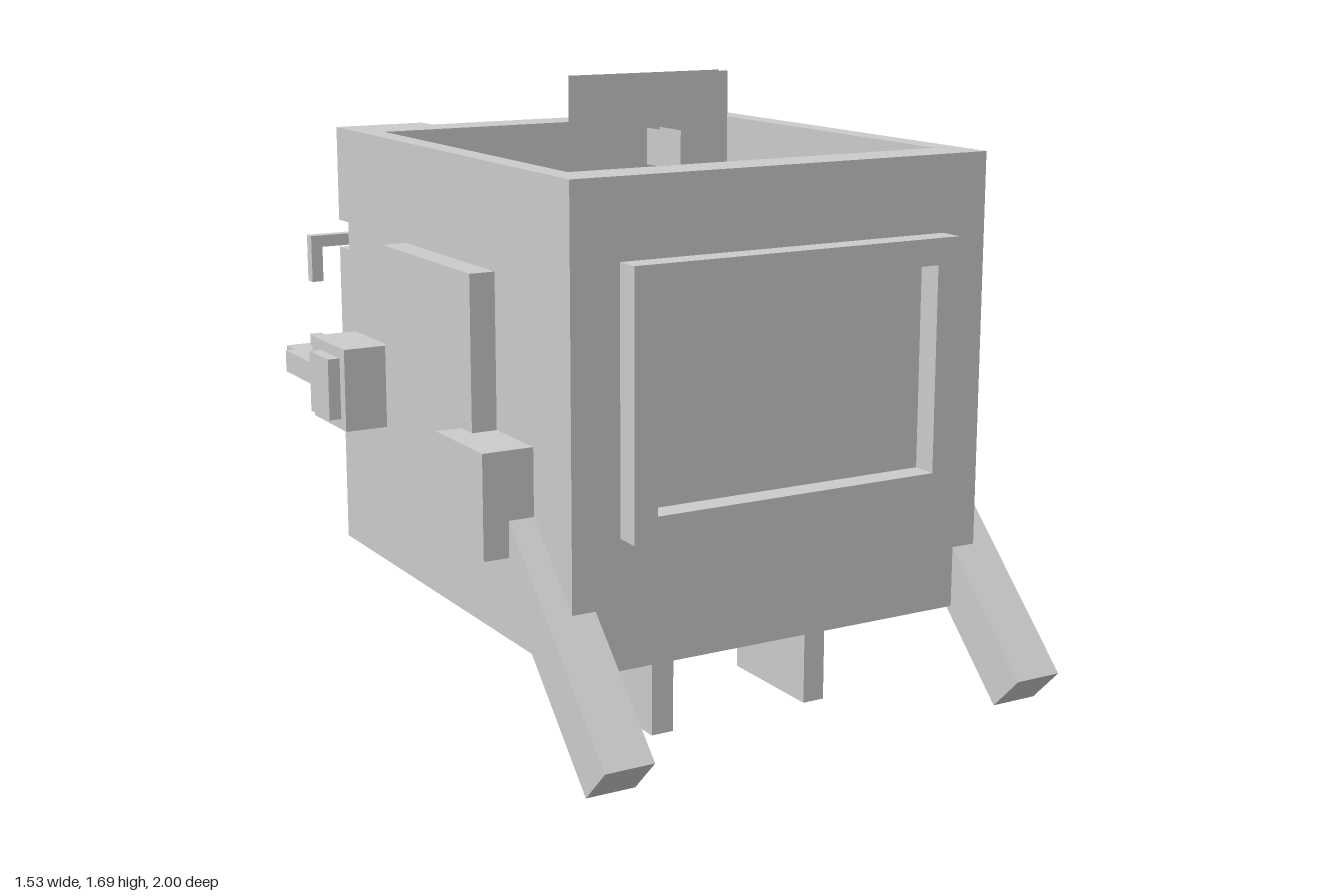
import * as THREE from 'three';

export function createModel() {
  const model = new THREE.Group();
  const grey = new THREE.MeshStandardMaterial({ color: 0xcccccc, flatShading: true });
  const thin = new THREE.MeshStandardMaterial({ color: 0xcccccc, side: THREE.DoubleSide });

  const add = (name, geometry, material = grey) => {
    const mesh = new THREE.Mesh(geometry, material);
    mesh.name = name;
    model.add(mesh);
    return mesh;
  };
  // Box given by its limits on each axis
  const box = (name, x0, x1, y0, y1, z0, z1) => {
    const mesh = add(name, new THREE.BoxGeometry(x1 - x0, y1 - y0, z1 - z0));
    mesh.position.set((x0 + x1) / 2, (y0 + y1) / 2, (z0 + z1) / 2);
    return mesh;
  };
  // Rectangular ring extruded from z0 to z1
  const ring = (name, [x0, x1, y0, y1], [a0, a1, b0, b1], z0, z1) => {
    const rect = (C, l, r, b, t) => new C([[l, b], [r, b], [r, t], [l, t]].map(p => new THREE.Vector2(...p)));
    const shape = rect(THREE.Shape, x0, x1, y0, y1);
    shape.holes.push(rect(THREE.Path, a0, a1, b0, b1));
    const mesh = add(name, new THREE.ExtrudeGeometry(shape, { depth: z1 - z0, bevelEnabled: false }));
    mesh.position.z = z0;
    return mesh;
  };

  // Hollow body, open at the top
  box('floor', -0.6, 0.63, 0.28, 0.35, -0.66, 0.71);
  box('frontWall', -0.6, 0.63, 0.35, 1.51, 0.58, 0.71);
  box('backWall', -0.6, 0.63, 0.35, 1.51, -0.66, -0.53);
  box('rightWall', -0.6, -0.535, 0.35, 1.51, -0.53, 0.58);
  box('leftWall', 0.56, 0.63, 0.35, 1.51, -0.53, 0.58);

  // Raised blocks on the back, with a groove and two recesses between them
  box('backBlock', -0.6, 0.63, 0.68, 1.16, -0.73, -0.66);
  for (const [x0, x1] of [[-0.6, -0.33], [0.355, 0.63]]) {
    box('upperBackPost', x0, x1, 1.24, 1.51, -0.73, -0.66);
    box('lowerBackPost', x0, x1, 0.28, 0.68, -0.73, -0.66);
  }

  // Front window frame
  ring('windowFrame', [-0.465, 0.495, 0.62, 1.305], [-0.4, 0.43, 0.685, 1.235], 0.71, 0.78);

  // Side panels
  box('leftPanel', 0.63, 0.695, 0.69, 1.235, -0.245, 0.305);
  box('leftPanelBand', 0.63, 0.695, 0.825, 1.1, -0.72, -0.245);
  box('rightPanel', -0.67, -0.6, 0.69, 1.235, -0.245, 0.305);

  // Slanted front legs with hip blocks
  const legLength = 0.817;
  for (const [x0, x1, b0, b1] of [[0.56, 0.695, 0.63, 0.765], [-0.67, -0.535, -0.74, -0.6]]) {
    box('hipBlock', b0, b1, 0.55, 0.825, 0.24, 0.51);
    const leg = add('frontLeg', new THREE.BoxGeometry(x1 - x0, 0.135, legLength));
    leg.position.set((x0 + x1) / 2, 0.396, 0.664);
    leg.rotation.x = Math.PI / 4;
  }

  // Stepped runners underneath
  const steps = [[0.14, 0.21, -0.445], [0.07, 0.14, -0.105], [0, 0.07, 0.17]];
  for (const [x0, x1, w0, w1] of [[0.22, 0.285, 0.22, 0.355], [-0.26, -0.195, -0.33, -0.195]]) {
    box('runnerBase', w0, w1, 0.21, 0.28, -0.65, 0.51);
    for (const [y0, y1, z] of steps) box('runnerStep', x0, x1, y0, y1, z, 0.51);
  }

  // Left arm holding the framed screen behind the body
  box('leftArmMount', 0.63, 0.765, 0.93, 1.135, -0.385, -0.28);
  box('leftArm', 0.63, 0.695, 1, 1.065, -0.865, -0.28);
  box('leftArmElbow', 0.595, 0.635, 1, 1.065, -0.905, -0.8);
  ring('screenFrame', [0.04, 0.595, 0.79, 1.205], [0.11, 0.525, 0.86, 1.2], -0.895, -0.795);
  box('screenTopBar', 0.11, 0.525, 1.2, 1.27, -0.895, -0.795);
  box('screenBottomBar', 0.11, 0.525, 0.725, 0.79, -0.86, -0.795);
  box('screenPlate', 0.11, 0.525, 0.86, 1.2, -0.83, -0.795);
  for (const x of [0.04, 0.525]) {
    box('screenCorner', x, x + 0.07, 1.2, 1.235, -0.83, -0.795);
  }

  // Right arm with its mount
  box('rightArmMount', -0.735, -0.6, 0.69, 0.925, -0.625, -0.385);
  box('rightArmCap', -0.77, -0.735, 0.72, 0.895, -0.56, -0.42);
  box('rightArm', -0.705, -0.64, 0.76, 0.825, -0.93, -0.625);
  box('rightArmElbow', -0.675, -0.57, 0.76, 0.825, -1, -0.895);
  box('rightArmTip', -0.635, -0.57, 0.72, 0.79, -1, -0.895);

  // Four floating corner brackets
  const t = 0.035, len = 0.14;
  for (const [x, sx] of [[-0.61, 1], [-0.05, -1]]) {
    for (const [y, sy] of [[0.72, 1], [1.165, -1]]) {
      const span = (a, s, l) => [Math.min(a, a + s * l), Math.max(a, a + s * l)];
      box('bracketBar', ...span(x, sx, len), ...span(y, sy, t), -0.97, -0.935);
      box('bracketPost', ...span(x, sx, t), ...span(y + sy * t, sy, len - t), -0.97, -0.935);
    }
  }

  // Thin upright cards in the middle of the opening
  for (const z of [-0.005, 0.04]) {
    add('wideCard', new THREE.PlaneGeometry(0.475, 0.4), thin).position.set(0.015, 1.49, z);
  }
  for (const x of [-0.005, 0.035]) {
    const card = add('smallCard', new THREE.PlaneGeometry(0.245, 0.1), thin);
    card.position.set(x, 1.495, 0.03);
    card.rotation.y = Math.PI / 2;
  }

  return model;
}
